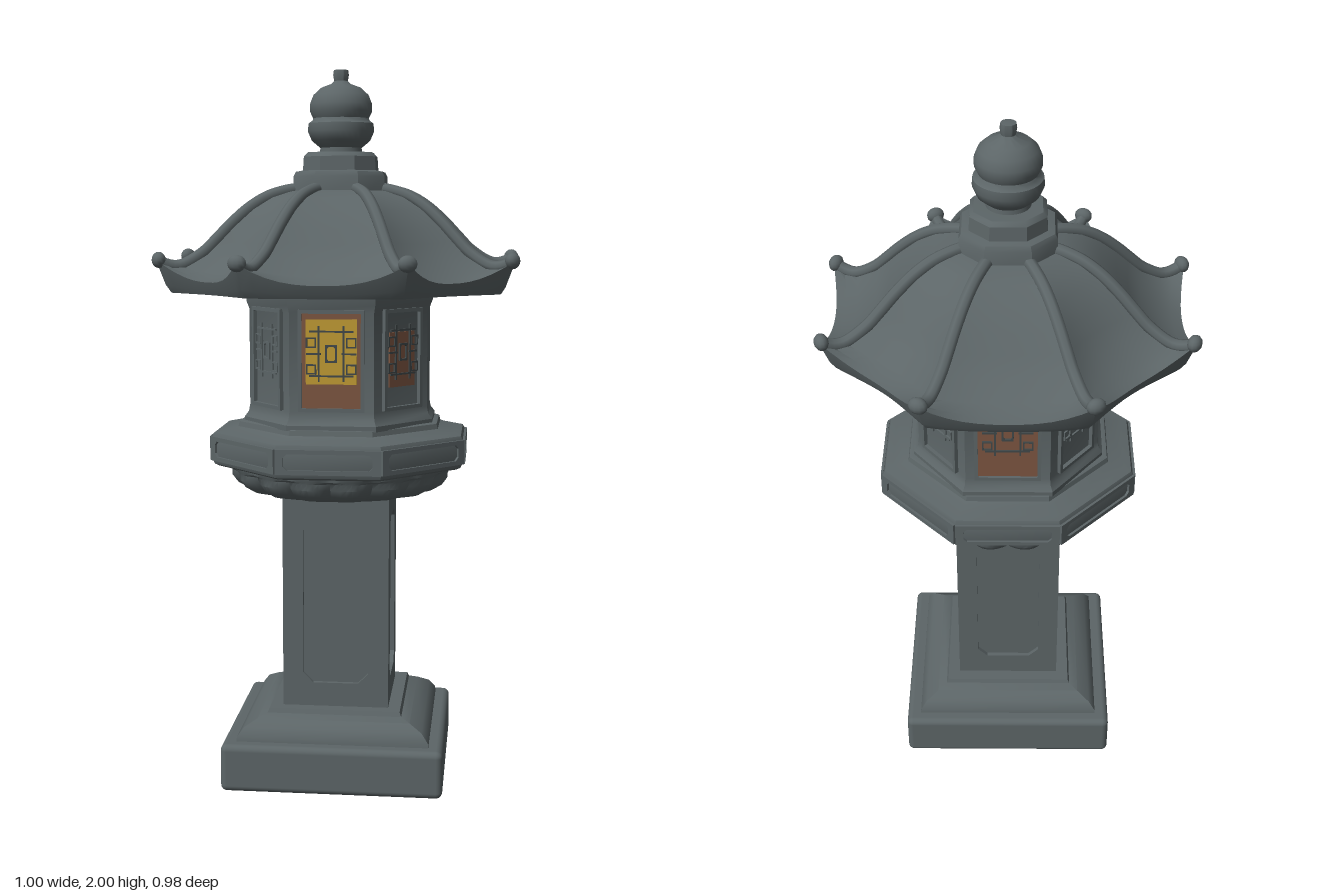
import * as THREE from 'three';
import { toCreasedNormals } from 'three/addons/utils/BufferGeometryUtils.js';
import { RoundedBoxGeometry } from 'three/addons/geometries/RoundedBoxGeometry.js';

const mat = (name, color) => Object.assign(new THREE.MeshStandardMaterial({ color }), { name });
const V = (x, y, z) => new THREE.Vector3(x, y, z);

// Skin closed rings of points, listed along the profile, bottom to top
function loft(rings, crease = 0.6) {
  const n = rings[0].length, pos = [], idx = [];
  rings.forEach(r => r.forEach(p => pos.push(p.x, p.y, p.z)));
  for (let j = 0; j < rings.length - 1; j++) {
    for (let i = 0; i < n; i++) {
      const a = j * n + i, b = j * n + (i + 1) % n;
      idx.push(a, b, b + n, a, b + n, a + n);
    }
  }
  const g = new THREE.BufferGeometry();
  g.setAttribute('position', new THREE.Float32BufferAttribute(pos, 3));
  g.setIndex(idx);
  return toCreasedNormals(g, crease);
}

// Eight corners, anticlockwise from above: front edge end (xf, zf), side edge end (xs, zs)
const octagon = ([xf, zf, xs, zs], y, k = 1) => [
  [-xf, zf], [xf, zf], [xs, zs], [xs, -zs], [xf, -zf], [-xf, -zf], [-xs, -zs], [-xs, zs],
].map(([x, z]) => V(x * k, y, z * k));
const rectangle = (x, z, y) => [[-x, z], [x, z], [x, -z], [-x, -z]].map(p => V(p[0], y, p[1]));

// Outline of a rectangle with cut corners
function cutRect(Type, w, h, c) {
  const s = new Type();
  [[-w + c, -h], [w - c, -h], [w, -h + c], [w, h - c], [w - c, h], [-w + c, h], [-w, h - c], [-w, -h + c]]
    .forEach(([x, y], i) => (i ? s.lineTo(x, y) : s.moveTo(x, y)));
  s.closePath();
  return s;
}
function frameGeometry(w, h, iw, ih, c, depth) {
  const s = cutRect(THREE.Shape, w, h, 0.0005);
  s.holes.push(cutRect(THREE.Path, iw, ih, c));
  return new THREE.ExtrudeGeometry(s, { depth, bevelEnabled: false });
}

export function createModel() {
  const stone = mat('stone', 0x5c6567);
  const carved = mat('dark carving', 0x414849);
  const brown = mat('brown screen', 0x7c5540);
  const gold = mat('golden light', 0xc09a34);
  const model = new THREE.Group();
  model.name = 'stoneLantern';
  const add = (name, geo, m = stone, parent = model) => {
    const mesh = new THREE.Mesh(geo, m);
    mesh.name = name;
    parent.add(mesh);
    return mesh;
  };
  // Group lying on side i of an octagon, its +z pointing outwards
  const onFace = (name, plan, i, y, k = 1) => {
    const pts = octagon(plan, y, k), a = pts[i], b = pts[(i + 1) % 8];
    const g = new THREE.Group();
    g.name = name;
    g.position.addVectors(a, b).multiplyScalar(0.5);
    g.rotation.y = Math.atan2(a.z - b.z, b.x - a.x);
    g.userData.width = a.distanceTo(b);
    model.add(g);
    return g;
  };

  // Plinth and its curved shoulder
  add('plinth', new RoundedBoxGeometry(0.62, 0.135, 0.585, 3, 0.018)).position.y = 0.0675;
  add('plinthShoulder', loft([[0.27, 0.255, 0.13], [0.268, 0.253, 0.148], [0.25, 0.24, 0.172], [0.215, 0.212, 0.19],
    [0.19, 0.19, 0.2], [0.185, 0.185, 0.212], [0, 0, 0.212]].map(r => rectangle(...r))));

  // Column with a sunk panel on each side
  add('column', new THREE.BoxGeometry(0.276, 0.61, 0.276)).position.y = 0.515;
  const panel = frameGeometry(0.15, 0.305, 0.092, 0.235, 0.028, 0.012);
  for (let i = 0; i < 4; i++) {
    const p = add('columnPanelFrame', panel);
    p.rotation.y = i * Math.PI / 2;
    p.position.set(Math.sin(p.rotation.y) * 0.138, 0.515, Math.cos(p.rotation.y) * 0.138);
  }

  // Lotus petals beneath the deck
  const lotus = (r, y, ripple) => Array.from({ length: 128 }, (_, i) => {
    const a = i / 128 * Math.PI * 2, q = r * (1 - ripple + ripple * Math.abs(Math.sin(a * 8)));
    return V(Math.sin(a) * q, y, Math.cos(a) * q * 0.97);
  });
  add('lotusPetals', loft([[0, 0.818, 0], [0.23, 0.818, 0.03], [0.27, 0.826, 0.07], [0.298, 0.842, 0.08],
    [0.313, 0.862, 0.07], [0.314, 0.88, 0.05], [0.318, 0.886, 0.03], [0.322, 0.905, 0.03]].map(r => lotus(...r))));

  // Eight-sided deck with bordered sides
  const deckPlan = [0.142, 0.34, 0.352, 0.122];
  add('deck', loft([[0.897, 0], [0.897, 0.95], [0.903, 0.985], [0.915, 1], [0.98, 1], [0.992, 0.985],
    [0.996, 0.93], [1.004, 0.83], [1.008, 0.8], [1.022, 0.79], [1.025, 0.76], [1.025, 0]]
    .map(([y, k]) => octagon(deckPlan, y, k))));
  for (let i = 0; i < 8; i++) {
    const f = onFace('deckSide', deckPlan, i, 0.948), w = f.userData.width / 2;
    add('deckBorder', frameGeometry(w, 0.034, w - 0.022, 0.022, 0.01, 0.007), stone, f);
  }

  // Lamp chamber
  const roomPlan = [0.115, 0.25, 0.25, 0.082];
  add('lampChamber', loft([[1.02, 1.06], [1.035, 1.06], [1.05, 1.015], [1.07, 1], [1.34, 1], [1.36, 1.03], [1.41, 1.04]]
    .map(([y, k]) => octagon(roomPlan, y, k))));

  // Windows on front, back and diagonals; the two plain sides have none
  const box = (name, w, h, d, x, y, z, m, parent) =>
    add(name, new THREE.BoxGeometry(w, h, d), m, parent).position.set(x, y, z);
  for (const i of [0, 1, 3, 4, 5, 7]) {
    const g = onFace('window', roomPlan, i, 1.21), w = i % 4 ? 0.066 : 0.08, h = 0.128;
    add('windowFrame', frameGeometry(w + 0.01, h + 0.01, w, h, 0.001, 0.011), stone, g);
    if (i === 0 || i === 4) box('screen', w * 2, h * 2, 0.004, 0, 0, 0.002, brown, g);
    if (i === 0) box('litPane', 0.138, 0.175, 0.003, 0, 0.025, 0.005, gold, g);
    if (i === 1) box('screenPatch', 0.1, 0.15, 0.004, 0, 0, 0.002, brown, g);
    // Fretwork of thin bars and small square loops
    const m = i % 4 === 0 || i === 1 ? carved : stone;
    for (const s of [-1, 1]) {
      box('fretUpright', 0.005, 0.15, 0.005, s * w * 0.42, 0.02, 0.006, m, g);
      box('fretRail', w * 1.5, 0.005, 0.005, 0, 0.02 + s * 0.06, 0.006, m, g);
      box('fretShortRail', w * 0.5, 0.005, 0.005, s * w * 0.6, 0.02, 0.006, m, g);
      for (const y of [-0.022, 0.05]) {
        const loop = add('fretLoop', frameGeometry(0.014, 0.014, 0.01, 0.01, 0.001, 0.005), m, g);
        loop.position.set(s * w * 0.68, y, 0.0045);
      }
    }
    const heart = add('fretHeart', frameGeometry(0.016, 0.024, 0.011, 0.019, 0.004, 0.005), m, g);
    heart.position.set(0, 0.02, 0.0045);
  }

  // Roof: sweeping faces between eight upturned corners
  const roofPlan = [0.22, 0.478, 0.488, 0.2], N = 12;
  const corners = octagon(roofPlan, 0);
  const roofRing = ([fCorner, fFace, yCorner, yFace]) => {
    const out = [];
    for (let i = 0; i < 8; i++) {
      const sag = i % 2 ? 0.085 : (i % 4 ? 0.04 : 0.012);
      for (let j = 0; j < N; j++) {
        const s = j / N, e = Math.pow(Math.abs(2 * s - 1), 2.5);
        const k = (fFace + (fCorner - fFace) * e) * (1 - sag * 4 * s * (1 - s) * fFace);
        const p = corners[i].clone().lerp(corners[(i + 1) % 8], s).multiplyScalar(k);
        p.y = yFace + (yCorner - yFace) * e;
        out.push(p);
      }
    }
    return out;
  };
  const slope = [[1, 1, 1.478, 1.422], [0.94, 0.94, 1.462, 1.428], [0.87, 0.87, 1.46, 1.442], [0.75, 0.75, 1.495, 1.478],
    [0.67, 0.67, 1.535, 1.522], [0.6, 0.6, 1.572, 1.562], [0.5, 0.5, 1.617, 1.612], [0.4, 0.4, 1.648, 1.646],
    [0.3, 0.3, 1.664, 1.664], [0.2, 0.2, 1.672, 1.672]];
  add('roof', loft([[0.4, 0.4, 1.4, 1.4], [0.92, 0.965, 1.388, 1.388], [0.95, 0.98, 1.41, 1.4], ...slope].map(roofRing), 0.5));

  // Ridges running down to a knob at each corner
  corners.forEach(c => {
    const path = slope.map(([f, , y]) => V(c.x * f, y + 0.002, c.z * f)).reverse();
    add('roofRidge', new THREE.TubeGeometry(new THREE.CatmullRomCurve3(path), 36, 0.017, 8));
    const tip = add('ridgeTip', new THREE.SphereGeometry(0.026, 12, 8));
    tip.position.set(c.x * 0.985, 1.478, c.z * 0.985);
    tip.rotation.y = Math.atan2(c.x, c.z);
    tip.scale.set(1, 0.85, 0.75);
  });

  // Stepped collar and finial
  const collarPlan = [0.06, 0.127, 0.127, 0.06];
  add('collar', loft([[1.64, 1], [1.705, 1], [1.718, 0.95], [1.722, 0.8], [1.76, 0.78], [1.772, 0.7], [1.775, 0]]
    .map(([y, k]) => octagon(collarPlan, y, k))));
  const finial = [[0.06, 1.765], [0.058, 1.785], [0.082, 1.805], [0.093, 1.83], [0.091, 1.852], [0.08, 1.86], [0.078, 1.866],
    [0.087, 1.885], [0.087, 1.905], [0.077, 1.93], [0.055, 1.95], [0.028, 1.96], [0.019, 1.968], [0.022, 1.985],
    [0.02, 1.998], [0, 2]].map(p => new THREE.Vector2(...p));
  add('finial', toCreasedNormals(new THREE.LatheGeometry(finial, 32), 0.7));
  return model;
}
